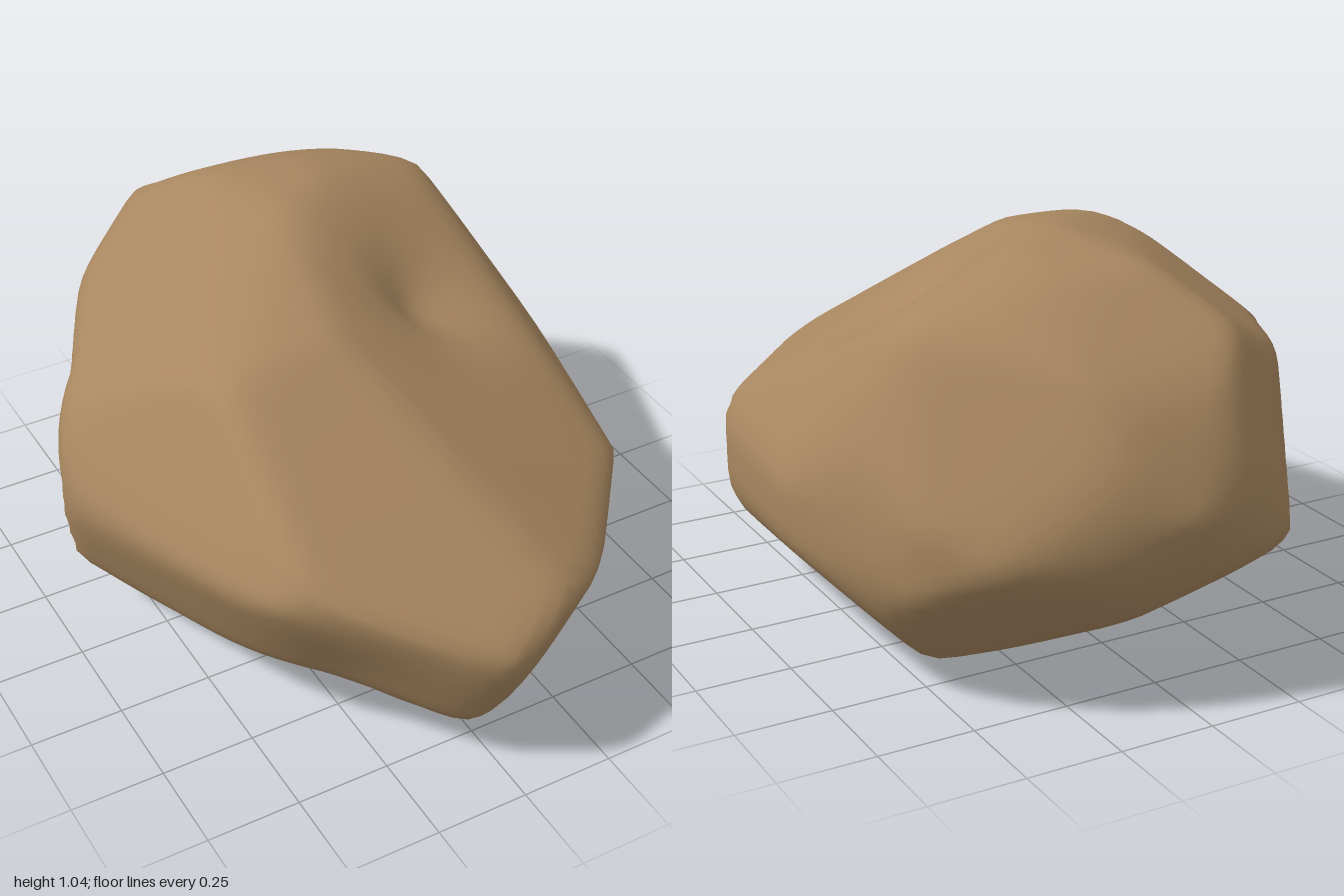
import * as THREE from 'three';
import { mergeVertices } from 'three/addons/utils/BufferGeometryUtils.js';

// The boulder is carved like a block of stone: each outline is cut straight
// through from one direction, then a plane and dents refine what is left.
const CORE = new THREE.Vector3(0, 0.53, 0);

// Turn and tilt of each cut in degrees, with its outline around the core
const CUTS = [
  [0, 0, [0.76, -0.05, 0.75, -0.21, 0.46, -0.52, 0, -0.53, -0.58, -0.43, -0.73, -0.33,
    -0.76, -0.1, -0.73, 0.1, -0.53, 0.36, 0, 0.53, 0.15, 0.52, 0.56, 0.4]],
  [90, 0, [1, 0, 0.87, -0.31, 0.35, -0.53, 0, -0.52, -0.87, -0.4, -0.98, -0.13,
    -1, -0.03, -0.72, 0.14, -0.23, 0.42, 0.25, 0.53, 0.62, 0.49, 0.81, 0.37]],
  [0, 90, [0.02, 1, -0.3, 0.89, -0.6, 0.3, -0.76, 0.1, -0.6, -0.52, -0.49, -0.73,
    -0.03, -1, 0.3, -0.84, 0.65, -0.43, 0.76, 0.2, 0.63, 0.7, 0.49, 0.85]],
  [34, 29, [0.25, 0.68, 0.64, 0.53, 0.9, 0.1, 0.91, -0.07, 0.79, -0.26,
    0.38, -0.58, -0.22, -0.67, -0.55, -0.64, -0.8, -0.09, -0.47, 0.4]],
  [214, 29, [-0.92, -0.15, -0.9, -0.28, -0.57, -0.56, 0.08, -0.59, 0.47, -0.55,
    0.81, 0.16, 0.75, 0.27, 0.22, 0.44, -0.03, 0.39, -0.72, 0.34]],
  [142, -29, [-0.5, -0.69, -0.77, -0.25, -0.77, -0.04, -0.13, 0.7, 0.37, 0.69,
    0.62, 0.56, 0.79, 0.14, 0.64, -0.21, 0.67, -0.45, 0.19, -0.56]],
].map(([turn, tilt, outline]) => {
  const a = THREE.MathUtils.degToRad(turn), e = THREE.MathUtils.degToRad(tilt);
  const corners = [];
  for (let i = 0; i < outline.length; i += 2) corners.push(new THREE.Vector2(outline[i], outline[i + 1]));
  return {
    right: new THREE.Vector3(Math.cos(a), 0, -Math.sin(a)),
    up: new THREE.Vector3(-Math.sin(e) * Math.sin(a), Math.cos(e), -Math.sin(e) * Math.cos(a)),
    corners,
  };
});

// Sloping front shoulder: direction of the plane and its offset
const SHOULDER = new THREE.Vector3(0.5, 1, 0.45);
const SHOULDER_OFFSET = 1.01;

// Hollows: x, y, z, radius, depth
const DENTS = [
  [0.32, 0.84, 0.0, 0.18, 0.08],
  [-0.4, 0.2, 0.7, 0.22, 0.04],
  [0.0, 0.2, -0.62, 0.2, 0.03],
];

// Distance along a direction to the wall of one cut
function reachOfCut(dir, { right, up, corners }) {
  const p = new THREE.Vector2(dir.dot(right), dir.dot(up));
  let reach = Infinity;
  corners.forEach((a, i) => {
    const edge = corners[(i + 1) % corners.length].clone().sub(a);
    const det = p.cross(edge);
    if (Math.abs(det) < 1e-9) return;
    const t = a.cross(edge) / det, s = a.cross(p) / det;
    if (t > 0 && s >= -1e-6 && s <= 1 + 1e-6) reach = Math.min(reach, t);
  });
  return reach;
}

// Smallest reach of all cuts, with slightly worn edges
function surfacePoint(dir) {
  const reaches = CUTS.map((cut) => reachOfCut(dir, cut));
  const facing = SHOULDER.dot(dir);
  if (facing > 0) reaches.push((SHOULDER_OFFSET - SHOULDER.dot(CORE)) / facing);
  const least = Math.min(...reaches);
  const sum = reaches.reduce((total, r) => total + Math.pow(least / r, 40), 0);
  const p = dir.clone().multiplyScalar(least * Math.pow(sum, -1 / 40)).add(CORE);
  let depth = 0;
  for (const [x, y, z, radius, d] of DENTS) {
    const q = Math.hypot(p.x - x, p.y - y, p.z - z) / radius;
    depth += d * Math.exp(-q * q);
  }
  return p.addScaledVector(dir, -depth);
}

function boulderGeometry() {
  const ball = new THREE.IcosahedronGeometry(1, 20);
  ball.deleteAttribute('normal');
  ball.deleteAttribute('uv');
  const geometry = mergeVertices(ball, 1e-4);
  const position = geometry.attributes.position;
  const dir = new THREE.Vector3();
  for (let i = 0; i < position.count; i++) {
    dir.fromBufferAttribute(position, i);
    dir.set(dir.x * 0.76, dir.y * 0.6, dir.z).normalize();
    position.setXYZ(i, ...surfacePoint(dir));
  }
  geometry.computeVertexNormals();
  return geometry;
}

export function createModel() {
  const group = new THREE.Group();
  group.name = 'rock';
  const stone = new THREE.MeshStandardMaterial({ color: 0xa88760 });
  stone.name = 'brown stone';
  const boulder = new THREE.Mesh(boulderGeometry(), stone);
  boulder.name = 'boulder';
  group.add(boulder);
  return group;
}
